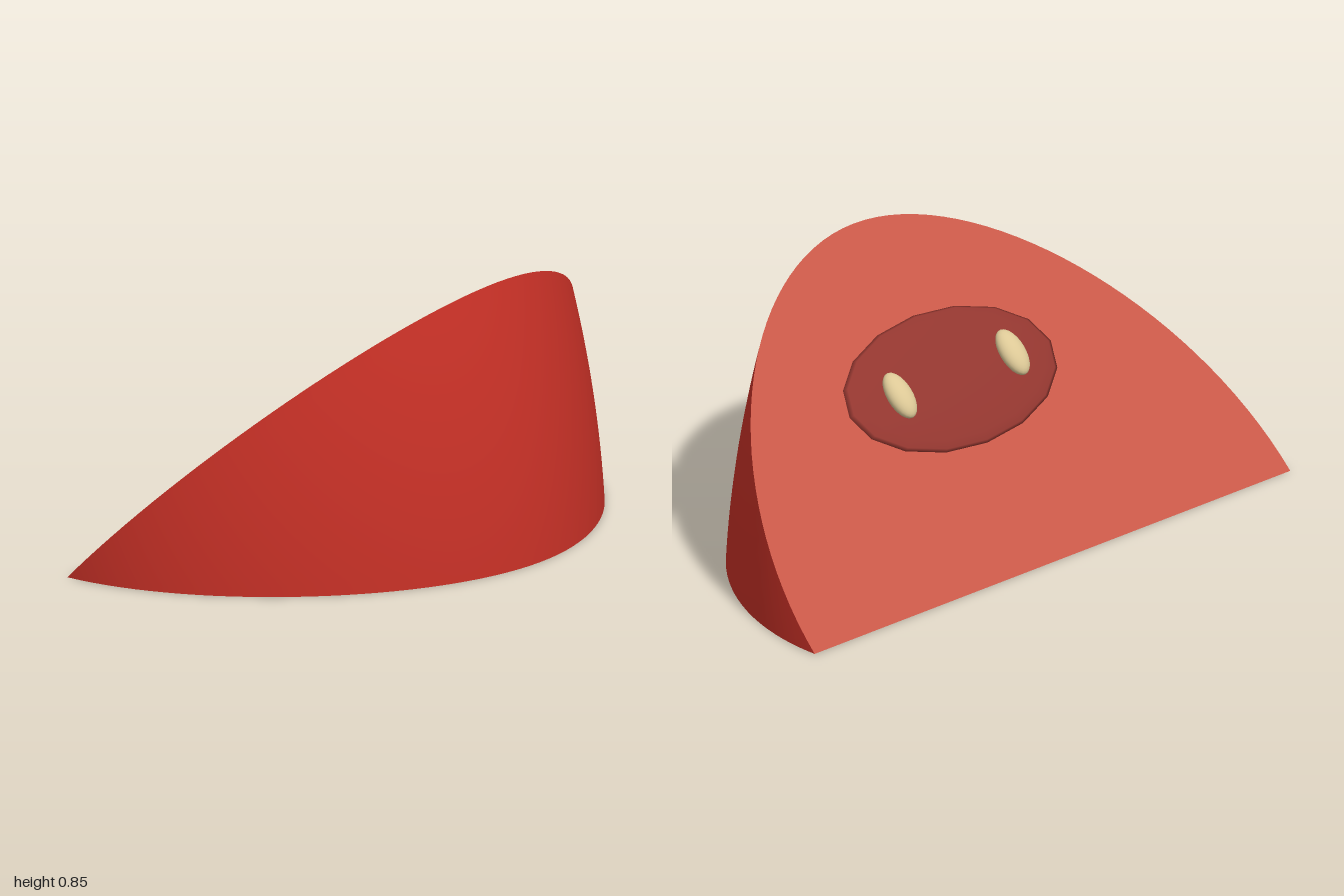
import * as THREE from 'three';

export function createModel() {
  const mat = (name, color) => {
    const m = new THREE.MeshStandardMaterial({ color });
    m.name = name;
    return m;
  };
  const skinRed = mat('skin red', 0xc63026);
  const fleshRed = mat('flesh red', 0xc85848);
  const coreRed = mat('core dark red', 0x92362f);
  const seedTan = mat('seed tan', 0xdcc896);

  const model = new THREE.Group();
  model.name = 'fruitSlice';
  const add = (parent, name, geometry, material) => {
    const mesh = new THREE.Mesh(geometry, material);
    mesh.name = name;
    parent.add(mesh);
    return mesh;
  };

  // Wedge hinged on its straight edge
  const baseX = 1.006, apexX = 0.844, apexY = 0.845;
  const slice = new THREE.Group();
  slice.name = 'slice';
  slice.position.x = -baseX / 2;
  model.add(slice);

  // Half outline shared by both flat faces, slightly leaner than a semicircle
  const outline = new THREE.Shape();
  outline.moveTo(0, -1);
  outline.bezierCurveTo(0.5, -1, 1, -0.5, 1, 0);
  outline.bezierCurveTo(1, 0.5, 0.5, 1, 0, 1);

  // Curved skin: the outline swept from the base up to the slope, bulging a little
  const points = outline.getPoints(32);
  const rows = 16, n = points.length;
  const positions = [], indices = [];
  for (let r = 0; r <= rows; r++) {
    const v = r / rows;
    const px = THREE.MathUtils.lerp(baseX, apexX, v) + 0.1 * v * (1 - v);
    points.forEach((p) => positions.push(p.x * px, p.x * apexY * v, p.y));
    if (r === rows) break;
    for (let i = 0; i < n - 1; i++) {
      const a = r * n + i, c = a + n;
      indices.push(a, c, a + 1, a + 1, c, c + 1);
    }
  }
  const skin = new THREE.BufferGeometry();
  skin.setAttribute('position', new THREE.Float32BufferAttribute(positions, 3));
  skin.setIndex(indices);
  skin.computeVertexNormals();
  add(slice, 'skin', skin, skinRed);

  // Flat faces: one below, a longer one on the slope
  const flatFace = (length) => new THREE.ShapeGeometry(outline, 32).scale(length, 1, 1);
  add(slice, 'lowerCut', flatFace(baseX).rotateX(Math.PI / 2), fleshRed);

  const upperCut = new THREE.Group();
  upperCut.name = 'upperCut';
  upperCut.rotation.z = Math.atan2(apexY, apexX);
  slice.add(upperCut);
  add(upperCut, 'upperCutFace', flatFace(Math.hypot(apexX, apexY)).rotateX(-Math.PI / 2), fleshRed);

  // Flattened core lying on the slope
  const core = add(upperCut, 'core', new THREE.SphereGeometry(1, 16, 12).scale(0.2235, 0.027, 0.423), coreRed);
  core.position.set(0.6345, 0.021, 0);

  // Pair of seeds
  for (const side of [-1, 1]) {
    const seed = add(upperCut, side > 0 ? 'frontSeed' : 'backSeed',
      new THREE.SphereGeometry(1, 24, 16).scale(0.078, 0.032, 0.043), seedTan);
    seed.position.set(0.634, 0.057, side * 0.237);
  }

  return model;
}
